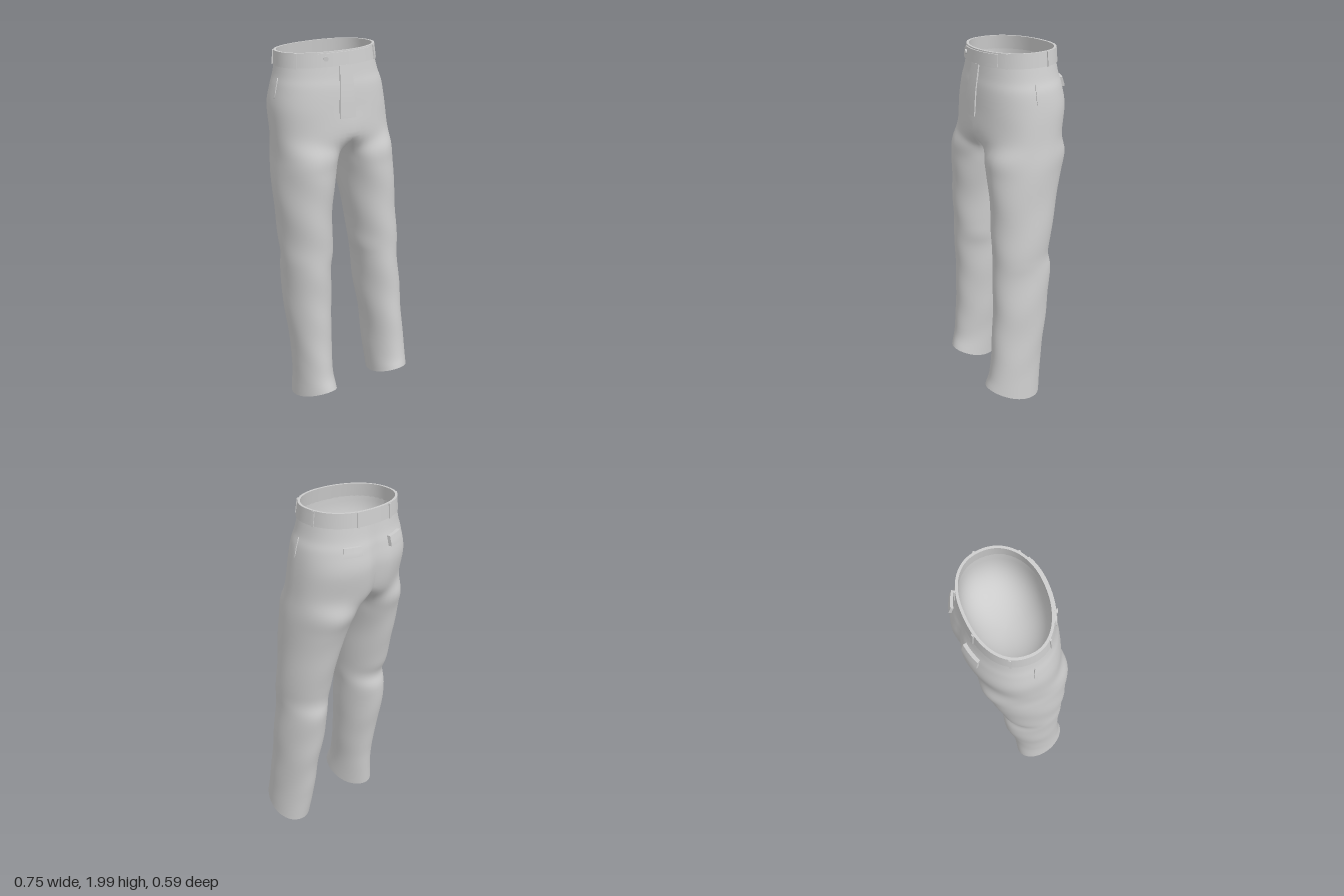
import * as THREE from 'three';
import { mergeVertices, mergeGeometries } from 'three/addons/utils/BufferGeometryUtils.js';

const mat = new THREE.MeshStandardMaterial({ color: 0xcccccc, side: THREE.DoubleSide });
const MID = -0.03; // x of the centre seam
const V = (x, y, z) => new THREE.Vector3(x, y, z);
const pow = (v, e) => Math.sign(v) * Math.abs(v) ** e;

// Hip outline by height: y, right x, left x, front z, back z, rear cleft depth, front and back roundness
const hips = [
  [2.0, -0.315, 0.212, 0.142, -0.235, 0, 0.95, 0.88],
  [1.9, -0.323, 0.224, 0.154, -0.244, 0, 0.93, 0.9],
  [1.8, -0.35, 0.262, 0.174, -0.274, 0.014, 0.88, 0.93],
  [1.7, -0.368, 0.28, 0.184, -0.289, 0.022, 0.85, 0.93],
  [1.56, -0.366, 0.294, 0.194, -0.268, 0.026, 0.82, 0.93],
];
// Leg sections by height: y, then outer x, inner x, front z, back z for right and left, then inner roundness
const legs = [
  [1.46, [-0.367, -0.043, 0.203, -0.244], [0.306, -0.016, 0.203, -0.242], 0.82],
  [1.36, [-0.374, -0.06, 0.205, -0.222], [0.312, 0.005, 0.205, -0.212], 0.9],
  [1.2, [-0.376, -0.08, 0.203, -0.19], [0.32, 0.03, 0.205, -0.172], 1],
  [1.0, [-0.37, -0.09, 0.2, -0.15], [0.33, 0.06, 0.21, -0.132], 1],
  [0.9, [-0.367, -0.092, 0.2, -0.12], [0.332, 0.072, 0.214, -0.114], 1],
  [0.8, [-0.365, -0.1, 0.2, -0.141], [0.335, 0.09, 0.22, -0.125], 1],
  [0.6, [-0.36, -0.105, 0.2, -0.12], [0.35, 0.105, 0.23, -0.1], 1],
  [0.4, [-0.345, -0.115, 0.21, -0.085], [0.355, 0.13, 0.25, -0.07], 1],
  [0.2, [-0.335, -0.125, 0.23, -0.065], [0.365, 0.14, 0.275, -0.045], 1],
  [0, [-0.342, -0.122, 0.26, -0.055], [0.375, 0.145, 0.3, -0.02], 1],
];

// Point on the hip surface; angle 0 is the front, +90 degrees the left side
function hipPoint(a, y, off = 0) {
  let i = 0;
  while (i < hips.length - 2 && y < hips[i + 1][0]) i++;
  const t = (hips[i][0] - y) / (hips[i][0] - hips[i + 1][0]);
  const [, xr, xl, zf, zb, cleft, ef, eb] = hips[i].map((v, k) => THREE.MathUtils.lerp(v, hips[i + 1][k], t));
  const s = Math.sin(a), c = Math.cos(a), e = c > 0 ? ef : eb;
  const dx = pow(s, e) * (s > 0 ? xl - MID : MID - xr);
  let z = (zf + zb) / 2 + pow(c, e) * (zf - zb) / 2;
  if (c < 0) z += cleft * Math.exp(-((dx / 0.04) ** 2));
  return V(MID + dx + off * s, y, z + off * c);
}

// One side of the trousers: half the hips running on into a closed leg
const OUT = 33, IN = 9, SUB = 6, OPEN = 0.9;
function buildSide(side) {
  const crotch = 4;
  const rows = [1.93, 1.86, 1.8, 1.7, 1.56].map((y) => {
    const row = [];
    for (let j = 0; j < OUT; j++) row.push(hipPoint(side * Math.PI * j / (OUT - 1), y));
    row[0].x = row[OUT - 1].x = MID;
    const f = hipPoint(0, 1.56), b = hipPoint(Math.PI, 1.56);
    for (let k = 1; k <= IN; k++) {
      const t = k / (IN + 1);
      row.push(V(MID, 1.56 - 0.045 * Math.sin(Math.PI * t), THREE.MathUtils.lerp(b.z, f.z, t)));
    }
    return row;
  });
  legs.forEach(([y, right, left, round]) => {
    const [xo, xi, zf, zb] = side > 0 ? left : right;
    const row = [];
    for (let j = 0; j < OUT + IN; j++) {
      const a = j < OUT
        ? -OPEN + (Math.PI + 2 * OPEN) * j / (OUT - 1)
        : Math.PI + OPEN + (Math.PI - 2 * OPEN) * (j - OUT + 1) / (IN + 1);
      const s = Math.sin(a), c = Math.cos(a), e = s < 0 ? round : 1;
      // the hem rises over the instep, and the toe end leans inwards
      const hem = y > 0 ? y : (side > 0 ? 0.022 : 0.003) + 0.095 * ((1 + c) / 2) ** 1.8;
      const lean = y > 0 ? 0 : -side * 0.016 * c;
      row.push(V((xo + xi) / 2 + (xo - xi) / 2 * pow(s, e) + lean, hem, (zf + zb) / 2 + (zf - zb) / 2 * pow(c, e)));
    }
    rows.push(row);
  });

  const n = OUT + IN, steps = (rows.length - 1) * SUB, pos = [], idx = [];
  const columns = rows[0].map((_, j) => new THREE.CatmullRomCurve3(rows.map((r) => r[j]), false, 'catmullrom', 0.5));
  for (let i = 0; i <= steps; i++) {
    for (let j = 0; j < n; j++) {
      const p = columns[j].getPoint(i / steps);
      if (i <= crotch * SUB && (j === 0 || j === OUT - 1)) p.x = MID;
      // soft cloth folds
      const fold = 0.0018 * THREE.MathUtils.smoothstep(1.7 - p.y, 0, 0.3) * THREE.MathUtils.smoothstep(p.y, 0.1, 0.3);
      p.z += fold * Math.sin(p.y * 23 + p.x * 18);
      p.x += fold * Math.sin(p.y * 19 + p.z * 15);
      pos.push(p.x, p.y, p.z);
    }
  }
  for (let i = 0; i < steps; i++) {
    const count = i < crotch * SUB ? OUT - 1 : n;
    for (let j = 0; j < count; j++) {
      const k = (j + 1) % n, a = i * n + j, b = i * n + k, c = a + n, d = b + n;
      if (side > 0) idx.push(a, c, b, b, c, d);
      else idx.push(a, b, c, b, d, c);
    }
  }
  const geo = new THREE.BufferGeometry();
  geo.setAttribute('position', new THREE.Float32BufferAttribute(pos, 3));
  geo.setIndex(idx);
  return geo;
}

// Slab bent onto the hips between two angles and two heights
function patch(name, a0, a1, y0, y1, off0, off1, seg = 10, shape = () => 1) {
  const geo = new THREE.BoxGeometry(1, 1, 1, seg, 4, 1);
  const p = geo.attributes.position;
  for (let i = 0; i < p.count; i++) {
    const u = p.getX(i) + 0.5;
    const y = (y0 + y1) / 2 + p.getY(i) * (y1 - y0) * shape(u);
    const q = hipPoint(a0 + (a1 - a0) * u, y, p.getZ(i) > 0 ? off1 : off0);
    if (y0 > 1.88) q.y += 0.011 * (q.x + 0.05) / 0.27; // the waist is a little higher on the left
    p.setXYZ(i, q.x, q.y, q.z);
  }
  geo.computeVertexNormals();
  const mesh = new THREE.Mesh(geo, mat);
  mesh.name = name;
  return mesh;
}

export function createModel() {
  const group = new THREE.Group();
  group.name = 'trousers';

  const cloth = mergeVertices(mergeGeometries([buildSide(-1), buildSide(1)]), 1e-4);
  cloth.computeVertexNormals();
  const body = new THREE.Mesh(cloth, mat);
  body.name = 'legsAndSeat';
  group.add(body);

  // Flat-bottomed lining inside the waist
  const bowl = new THREE.SphereGeometry(1, 48, 20, 0, Math.PI * 2, Math.PI / 2, Math.PI / 2);
  const bp = bowl.attributes.position;
  for (let i = 0; i < bp.count; i++) {
    const x = bp.getX(i), z = bp.getZ(i), r = Math.hypot(x, z);
    const rim = hipPoint(Math.atan2(x, z), 1.93, -0.004);
    bp.setXYZ(i, -0.05 + (rim.x + 0.05) * r, 1.93 + 0.25 * pow(bp.getY(i), 0.7), -0.045 + (rim.z + 0.045) * r);
  }
  bowl.computeVertexNormals();
  const lining = new THREE.Mesh(bowl, mat);
  lining.name = 'lining';
  group.add(lining);

  // Waistband with its overlapping tab and button
  group.add(patch('waistband', -Math.PI, Math.PI, 1.914, 1.986, -0.006, 0.007, 96));
  const roundEnd = (u) => Math.sqrt(1 - Math.max(0, 1 - u / 0.12) ** 2) * 0.98 + 0.02;
  group.add(patch('waistTab', -0.66, 0.55, 1.919, 1.98, 0.004, 0.014, 50, roundEnd));
  const button = new THREE.Mesh(new THREE.CylinderGeometry(0.012, 0.012, 0.008, 20), mat);
  button.name = 'button';
  button.position.copy(hipPoint(-0.42, 1.95, 0.016));
  button.rotation.set(Math.PI / 2, 0, 0.42);
  group.add(button);

  // Belt loops
  [0.76, 1.75, 2.77, -2.8, -1.97, -1.02].forEach((a) =>
    group.add(patch('beltLoop', a - 0.024, a + 0.024, 1.912, 1.984, 0.004, 0.013, 2)));

  // Fly, rear pocket flaps and side pocket welts
  group.add(patch('fly', -0.17, 0.03, 1.655, 1.915, -0.003, 0.008));
  group.add(patch('rightPocketFlap', -2.93, -2.58, 1.785, 1.835, -0.004, 0.018));
  group.add(patch('leftPocketFlap', 2.45, 2.8, 1.79, 1.835, -0.004, 0.014));
  const taper = (u) => 0.55 + 0.45 * Math.sin(Math.PI * u);
  for (const a of [1.4, -1.5]) group.add(patch('sidePocket', a - 0.025, a + 0.025, 1.75, 1.85, -0.004, 0.006, 6, taper));

  return group;
}
